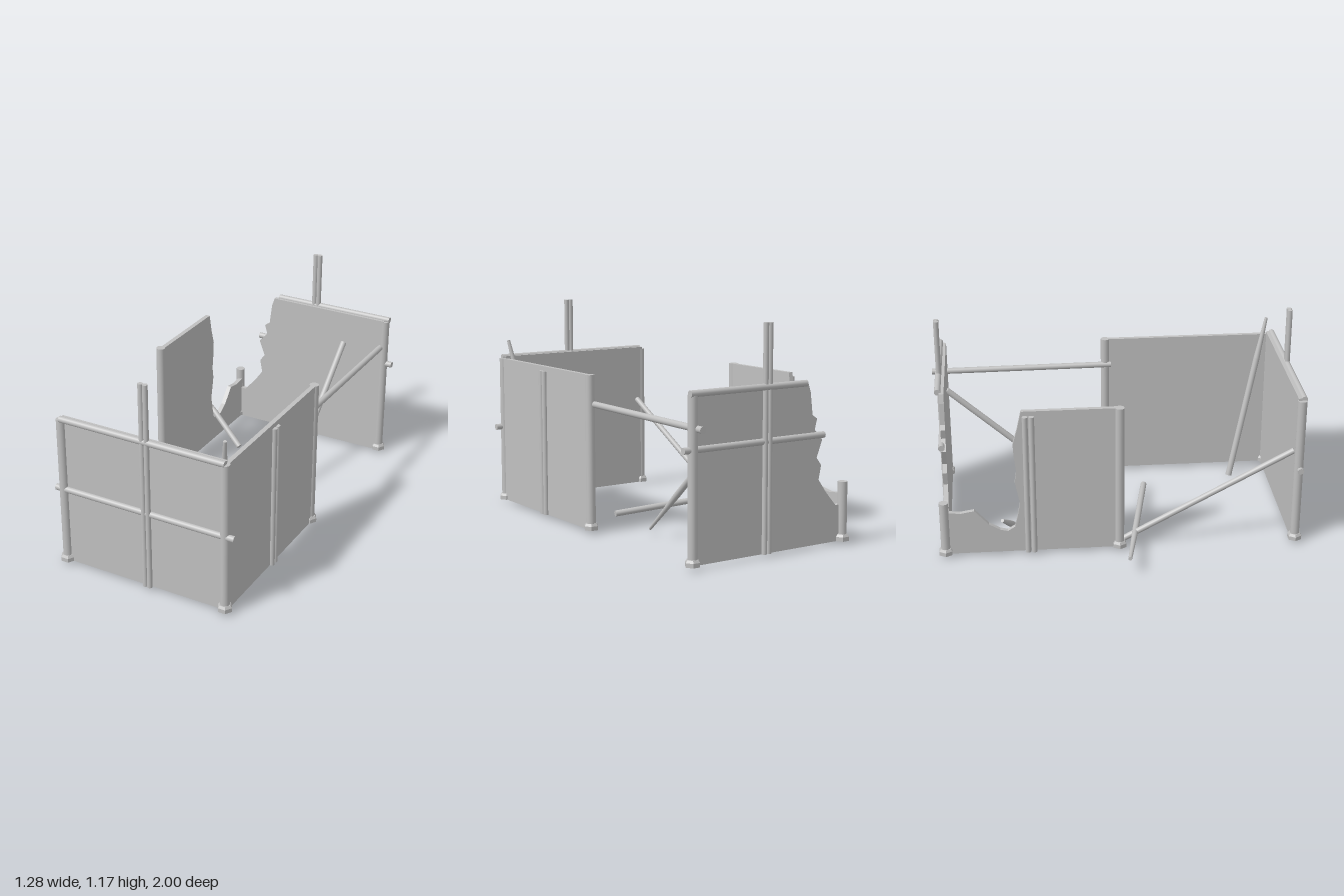
import * as THREE from 'three';

export function createModel() {
  const model = new THREE.Group();
  model.name = 'ruinedPalisade';
  const grey = new THREE.MeshStandardMaterial({ color: 0xc0c0c0 });
  grey.name = 'weathered grey';

  function add(name, geometry) {
    const mesh = new THREE.Mesh(geometry, grey);
    mesh.name = name;
    model.add(mesh);
    return mesh;
  }

  // Round pole from a to b; the last part towards b can taper to rTip
  function pole(name, a, b, r = 0.016, rTip = r, taper = 0.35) {
    const start = new THREE.Vector3(...a);
    const dir = new THREE.Vector3(...b).sub(start);
    const len = dir.length();
    const up = new THREE.Vector3(0, 1, 0);
    const q = new THREE.Quaternion().setFromUnitVectors(up, dir.normalize());
    const place = (part, from, to) => {
      part.quaternion.copy(q);
      part.position.copy(start).addScaledVector(dir, (from + to) / 2);
    };
    const body = rTip === r ? len : len * (1 - taper);
    place(add(name, new THREE.CylinderGeometry(r, r, body, 16)), 0, body);
    if (body < len) {
      place(add(name + 'Tip', new THREE.CylinderGeometry(rTip, r, len - body, 16)), body, len);
    }
  }

  // Flat wall panel centred on its plane; alongZ turns the outline's x into z
  function panel(name, points, offset, alongZ) {
    const t = 0.025;
    const shape = new THREE.Shape(points.map(([u, v]) => new THREE.Vector2(u, v)));
    const g = new THREE.ExtrudeGeometry(shape, { depth: t, bevelEnabled: false });
    g.translate(0, 0, -t / 2);
    if (alongZ) g.rotateY(-Math.PI / 2).translate(offset, 0, 0);
    else g.translate(0, 0, offset);
    add(name, g);
  }

  const base = 0.02, top = 0.85;
  const xR = -0.357, xL = 0.582, zF = 0.967, zB = -0.936;

  // Posts with hexagonal collars; the right back post is snapped off low
  for (const x of [xR, xL]) {
    for (const z of [zF, 0.003, zB]) {
      const h = x === xR && z === zB ? 0.33 : top;
      pole('post', [x, base, z], [x, h, z], 0.025);
      const foot = new THREE.CylinderGeometry(0.04, 0.04, 0.022, 6).toNonIndexed();
      const chamfer = new THREE.CylinderGeometry(0.031, 0.04, 0.013, 6).toNonIndexed();
      [[foot, 0.011], [chamfer, 0.0285]].forEach(([g, dy]) => {
        g.rotateY(Math.PI / 6).translate(x, base + dy, z);
        g.computeVertexNormals();
        add('postCollar', g);
      });
    }
  }

  // Whole panels: front, and front half of the left side
  panel('frontPanel', [[xR, base], [xL, base], [xL, 0.862], [xR, 0.862]], 0.958, false);
  panel('leftPanel', [[0, base], [zF, base], [zF, top], [0, top]], 0.583, true);

  // Broken panels meeting at the smashed corner
  panel('brokenRightPanel', [
    [zB, base], [0, base], [0, top], [-0.512, top], [-0.535, 0.745], [-0.56, 0.66],
    [-0.555, 0.58], [-0.545, 0.5], [-0.555, 0.435], [-0.53, 0.31], [-0.545, 0.23],
    [-0.56, 0.17], [-0.6, 0.145], [-0.64, 0.155], [-0.7, 0.19], [-0.775, 0.275],
    [-0.85, 0.262], [zB, 0.272],
  ], -0.35, true);
  panel('brokenBackPanel', [
    [xR, base], [xL, base], [xL, 0.855], [-0.12, 0.855], [-0.136, 0.807], [-0.15, 0.69],
    [-0.18, 0.67], [-0.165, 0.615], [-0.215, 0.56], [-0.18, 0.47], [-0.21, 0.43],
    [-0.195, 0.355], [-0.245, 0.285], [-0.31, 0.21], [xR, 0.215],
  ], -0.925, false);

  // Horizontal rails
  pole('frontTopRail', [-0.355, 0.855, 0.978], [0.587, 0.855, 0.978], 0.017);
  pole('frontMiddleRail', [-0.4, 0.45, 0.972], [0.638, 0.45, 0.972], 0.017);
  pole('backTopRail', [-0.1, 0.856, -0.946], [0.605, 0.856, -0.946], 0.017);
  pole('backMiddleRail', [-0.225, 0.585, -0.936], [0.638, 0.585, -0.936], 0.017);
  pole('leftRail', [0.568, 0.694, 0.035], [0.568, 0.687, -1], 0.017);

  // Paired upright battens: tall on the ends, short on the sides
  for (const s of [-1, 1]) {
    for (const x of [0.127, 0.153]) {
      const z = s > 0 ? 0.98 : -0.943;
      pole('endBatten', [x, base, z], [x, 1.17, z], 0.014);
    }
    for (const d of [0.459, 0.493]) {
      const x = s > 0 ? 0.6 : -0.375;
      pole('sideBatten', [x, base, s * d], [x, 0.825, s * d], 0.015);
    }
  }

  // Fallen and leaning poles
  pole('rightFallenRail', [-0.32, 0.54, 0.945], [-0.32, 0.04, 0.02], 0.016);
  pole('leaningStake', [0.337, 0.67, -0.912], [0.337, 0.03, -0.195], 0.017, 0.008);
  pole('lyingStake', [0.305, 0.034, 0.205], [-0.64, 0.105, 0.033], 0.017, 0.01);
  pole('shortStake', [-0.14, 0.035, -0.52], [-0.45, 0.26, -0.627], 0.017, 0.009);
  pole('cornerStake', [0.43, 0.007, 0.73], [0.565, 0.955, 0.94], 0.018, 0.009, 0.25);

  return model;
}
